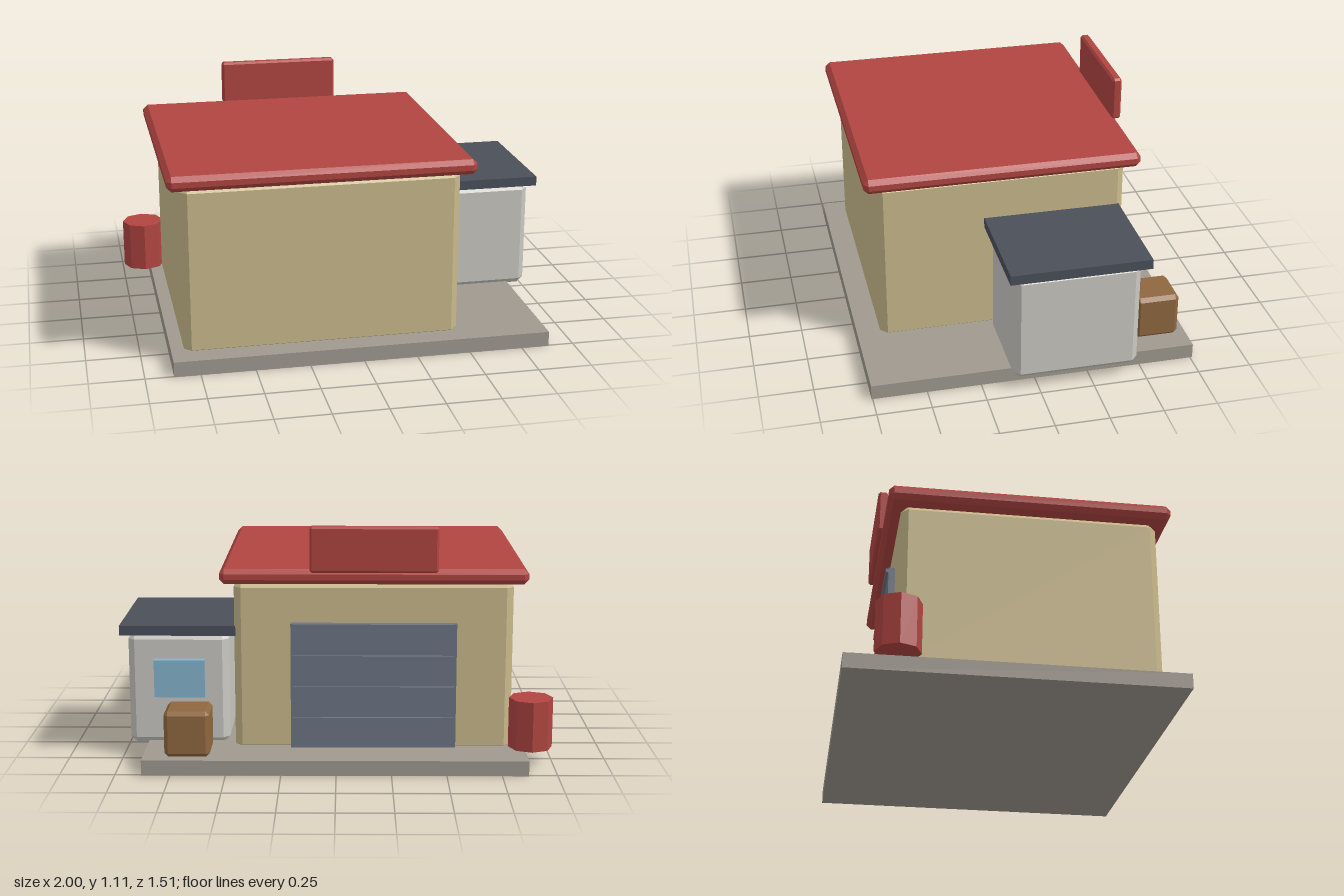
import * as THREE from 'three';
import { ConvexGeometry } from 'three/addons/geometries/ConvexGeometry.js';

const material = (name, color) => {
  const m = new THREE.MeshStandardMaterial({ color });
  m.name = name;
  return m;
};

// Box with flat 45 degree chamfers, built as the hull of its 24 corners
function chamferBox(w, h, d, b) {
  const points = [];
  for (const x of [-w / 2, w / 2]) for (const y of [-h / 2, h / 2]) for (const z of [-d / 2, d / 2]) {
    const sx = Math.sign(x) * b, sy = Math.sign(y) * b, sz = Math.sign(z) * b;
    points.push(
      new THREE.Vector3(x, y - sy, z - sz),
      new THREE.Vector3(x - sx, y, z - sz),
      new THREE.Vector3(x - sx, y - sy, z));
  }
  return new ConvexGeometry(points);
}

export function createModel() {
  const group = new THREE.Group();
  group.name = 'garage';
  const concrete = material('concrete', 0x9f998f);
  const tan = material('tanWall', 0xc9b98b);
  const red = material('redPaint', 0xb04541);
  const pale = material('paleWall', 0xc9c8c2);
  const slate = material('slateRoof', 0x4a4f59);
  const steel = material('doorSteel', 0x6e7684);
  const glass = material('windowGlass', 0x86b3cd);
  const wood = material('crateWood', 0x8f673f);

  // Adds a box spanning the given ranges, chamfered when bevel > 0
  function box(name, mat, [x0, x1], [y0, y1], [z0, z1], bevel = 0) {
    const size = [x1 - x0, y1 - y0, z1 - z0];
    const geometry = bevel ? chamferBox(...size, bevel) : new THREE.BoxGeometry(...size);
    const mesh = new THREE.Mesh(geometry, mat);
    mesh.name = name;
    mesh.position.set((x0 + x1) / 2, (y0 + y1) / 2, (z0 + z1) / 2);
    group.add(mesh);
  }

  box('baseSlab', concrete, [-0.87, 0.88], [0, 0.07], [-0.76, 0.755]);

  // Main hall with roof and sign board
  box('mainWalls', tan, [-0.81, 0.47], [0.04, 0.85], [-0.525, 0.645], 0.033);
  box('mainRoof', red, [-0.87, 0.53], [0.842, 0.912], [-0.585, 0.703], 0.022);
  box('signBoard', red, [-0.46, 0.12], [0.9, 1.11], [-0.607, -0.561], 0.01);

  // Rolling door with raised slats on the back wall
  box('garageDoor', steel, [-0.55, 0.21], [0.07, 0.655], [-0.555, -0.515]);
  for (let i = 0; i < 4; i++) {
    const y = 0.207 + i * 0.146;
    box('doorSlat', steel, [-0.54, 0.2], [y - 0.009, y + 0.009], [-0.567, -0.55]);
  }

  // Side office
  box('officeWalls', pale, [0.5, 0.967], [0.06, 0.59], [-0.465, 0.118], 0.03);
  box('officeRoof', slate, [0.465, 1], [0.587, 0.633], [-0.5, 0.145]);
  box('officeWindow', glass, [0.61, 0.845], [0.293, 0.47], [-0.497, -0.46]);

  // Yard props
  box('crate', wood, [0.573, 0.78], [0.07, 0.283], [-0.718, -0.512], 0.018);
  const barrelMat = red;
  const barrelGeometry = new THREE.CylinderGeometry(0.102, 0.102, 0.235, 8).toNonIndexed();
  barrelGeometry.computeVertexNormals();
  const barrel = new THREE.Mesh(barrelGeometry, barrelMat);
  barrel.name = 'barrel';
  barrel.position.set(-0.898, 0.1875, -0.53);
  group.add(barrel);

  return group;
}
